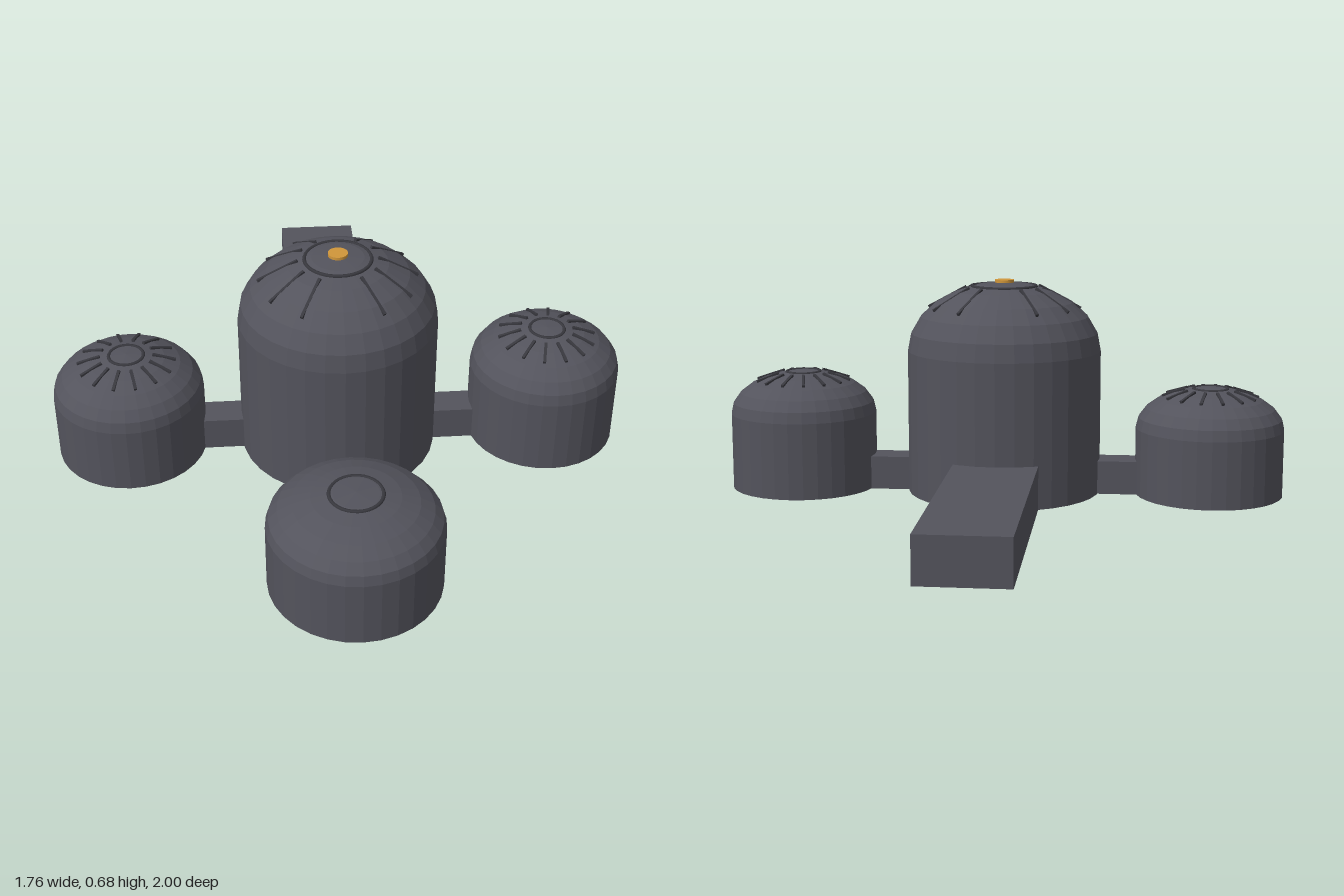
import * as THREE from 'three';

export function createModel() {
  const model = new THREE.Group();
  const mat = (name, color, flatShading = false) => {
    const m = new THREE.MeshStandardMaterial({ color, flatShading });
    m.name = name;
    return m;
  };
  const shell = mat('slate shell', 0x53535c, true);
  const trim = mat('dark trim', 0x38383e);
  const amber = mat('amber', 0xd0963a);
  const BASE = 0.01;

  const add = (parent, name, geometry, material, x = 0, y = 0, z = 0) => {
    const mesh = new THREE.Mesh(geometry, material);
    mesh.name = name;
    mesh.position.set(x, y, z);
    parent.add(mesh);
    return mesh;
  };

  // Drum with an elliptical dome, a crown ring and radial ribs
  function pod(name, { x, z, r, wall, top, ring, ribs = [], ribFrom, ribTo }) {
    const group = new THREE.Group();
    group.name = name;
    group.position.set(x, 0, z);
    model.add(group);
    const heightAt = (d) => wall + (top - wall) * Math.sqrt(1 - (d / r) ** 2);
    const profile = [new THREE.Vector2(0, BASE), new THREE.Vector2(r, BASE)];
    for (let i = 0; i <= 6; i++) {
      const a = (i / 6) * Math.PI / 2;
      profile.push(new THREE.Vector2(i === 6 ? 0 : r * Math.cos(a), wall + (top - wall) * Math.sin(a)));
    }
    add(group, name + 'Shell', new THREE.LatheGeometry(profile, 32), shell);

    const crown = new THREE.TorusGeometry(ring, 0.006, 6, 32).rotateX(Math.PI / 2);
    add(group, name + 'CrownRing', crown, trim, 0, heightAt(ring) - 0.002, 0);

    // Ribs lie along the slope of the dome
    for (const angle of ribs) {
      const dir = new THREE.Vector3(Math.cos(angle), 0, Math.sin(angle));
      const a = dir.clone().multiplyScalar(ribFrom).setY(heightAt(ribFrom));
      const b = dir.clone().multiplyScalar(ribTo).setY(heightAt(ribTo));
      const rib = add(group, name + 'Rib', new THREE.BoxGeometry(0.009, 0.012, a.distanceTo(b)), trim);
      rib.position.copy(a).lerp(b, 0.5);
      rib.lookAt(b.clone().add(group.position));
    }
    return group;
  }

  const spokes = (n) => Array.from({ length: n }, (_, i) => (i / n) * Math.PI * 2);
  const cz = 0.077;
  const central = pod('centralTower', {
    x: 0, z: cz, r: 0.305, wall: 0.46, top: 0.675, ring: 0.1,
    ribs: spokes(12).filter((a) => Math.abs(Math.cos(a)) > 0.1), ribFrom: 0.12, ribTo: 0.24,
  });
  add(central, 'topLamp', new THREE.CylinderGeometry(0.03, 0.03, 0.009, 24), amber, 0, 0.6775, 0);

  const side = { z: cz, r: 0.232, ring: 0.053, ribs: spokes(14), ribFrom: 0.08, ribTo: 0.15 };
  pod('leftPod', { ...side, x: 0.65, wall: 0.25, top: 0.384 });
  pod('rightPod', { ...side, x: -0.65, wall: 0.22, top: 0.349 });
  const front = pod('frontPod', { x: 0, z: 0.747, r: 0.252, wall: 0.215, top: 0.328, ring: 0.075 });
  add(front, 'undersideWindow', new THREE.CylinderGeometry(0.18, 0.18, 0.009, 32), amber, 0, 0.0045, 0);

  // Connecting corridors
  for (const s of [-1, 1]) {
    add(model, s > 0 ? 'leftCorridor' : 'rightCorridor',
      new THREE.BoxGeometry(0.2, 0.105, 0.1), shell, s * 0.36, BASE + 0.0525, cz);
  }
  add(model, 'frontCorridor', new THREE.BoxGeometry(0.1, 0.105, 0.2), shell, 0, BASE + 0.0525, 0.44);

  // Long rear wing
  add(model, 'rearWing', new THREE.BoxGeometry(0.26, 0.135, 0.82), shell, 0, BASE + 0.0675, -0.59);

  return model;
}
